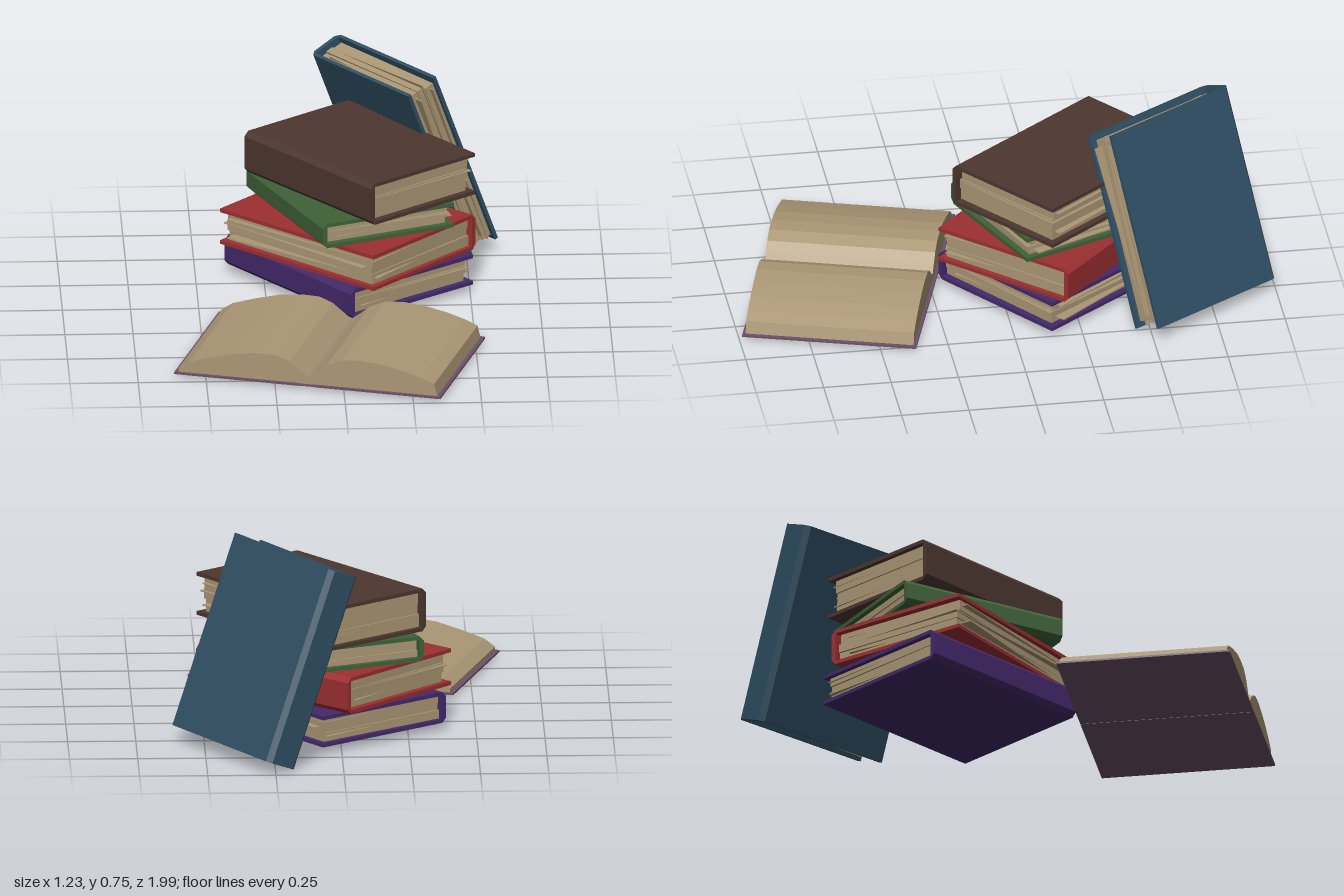
import * as THREE from 'three';

const mat = (color) => new THREE.MeshStandardMaterial({ color, flatShading: true });
const paper = mat(0xab9775);

// Extrude a closed [x, y] profile along z, centred on z = 0
function prism(points, depth, material, name) {
  const shape = new THREE.Shape(points.map(([x, y]) => new THREE.Vector2(x, y)));
  const geo = new THREE.ExtrudeGeometry(shape, { depth, bevelEnabled: false });
  geo.translate(0, 0, -depth / 2);
  const mesh = new THREE.Mesh(geo, material);
  mesh.name = name;
  return mesh;
}

function box(w, h, d, material, name) {
  const mesh = new THREE.Mesh(new THREE.BoxGeometry(w, h, d), material);
  mesh.name = name;
  return mesh;
}

// Closed book centred on the origin: spine at -x, fore edge at +x, length along z
function closedBook(name, color, W, T, L, twist) {
  const book = new THREE.Group();
  book.name = name;
  const w = W / 2, t = T / 2, c = 0.014, b = 0.018;

  // U-shaped cover with a chamfered spine
  book.add(prism([
    [w, -t], [w, -t + c], [-w + b, -t + c], [-w + b, t - c], [w, t - c], [w, t],
    [-w + b, t], [-w, t - b], [-w, -t + b], [-w + b, -t],
  ], L, mat(color), 'cover'));

  // Page block in slightly shifted bundles
  const inner = T - 2 * c;
  const bundles = [0.36, 0.28, 0.36];
  let y = -inner / 2;
  bundles.forEach((f, i) => {
    const h = f * inner;
    const pages = box(W - 0.04, h, L - 0.045, paper, 'pages');
    pages.position.set((i - 1) * 0.003, y + h / 2, (i % 2) * 0.006 - 0.003);
    pages.rotation.y = (i - 1) * twist * 0.12;
    book.add(pages);
    y += h;
  });

  // Loose leaves working their way out of the block
  [-0.27, 0.08, 0.33].forEach((f, i) => {
    const leaf = box(W - 0.05, 0.004, L - 0.05, paper, 'looseLeaf');
    leaf.position.set(0.02, f * inner, i === 1 ? 0.012 : -0.006);
    leaf.rotation.y = twist * [1, -0.5, 0.6][i];
    book.add(leaf);
  });
  return book;
}

// Open book lying flat: two thin boards and two curved page stacks
function openBook() {
  const book = new THREE.Group();
  book.name = 'openBook';
  const coverMat = mat(0x6b5068);
  for (const s of [-1, 1]) {
    const board = box(0.475, 0.007, 0.644, coverMat, 'board');
    board.position.set(s * 0.267, 0.0165, 0);
    book.add(board);
  }
  const spine = box(0.062, 0.005, 0.644, coverMat, 'spine');
  spine.position.y = 0.0165;
  book.add(spine);

  book.add(prism([
    [-0.49, 0.019], [0, 0.019], [0, 0.045], [-0.035, 0.072], [-0.07, 0.1], [-0.12, 0.12],
    [-0.19, 0.122], [-0.27, 0.113], [-0.36, 0.09], [-0.45, 0.062], [-0.49, 0.034],
  ], 0.622, paper, 'leftPages'));
  book.add(prism([
    [0, 0.019], [0.49, 0.019], [0.478, 0.065], [0.43, 0.085], [0.36, 0.106], [0.28, 0.122],
    [0.2, 0.13], [0.13, 0.125], [0.07, 0.1], [0.035, 0.07], [0, 0.045],
  ], 0.622, paper, 'rightPages'));
  book.position.set(-0.04, 0, 0.535);
  book.rotation.y = -0.296;
  return book;
}

export function createModel() {
  const model = new THREE.Group();
  model.name = 'bookPile';
  model.add(openBook());

  // Stack: name, colour, width, length, bottom, top, x, z, turn, leaf twist
  const stack = [
    ['purpleBook', 0x43296a, 0.578, 0.73, 0.03, 0.147, 0.06, -0.25, 0.65, 0.06],
    ['redBook', 0x9c2f32, 0.573, 0.742, 0.148, 0.286, 0.055, -0.235, -2.32, 0.07],
    ['greenBook', 0x3f6238, 0.53, 0.662, 0.287, 0.382, 0.065, -0.255, 0.4, 0.05],
    ['brownBook', 0x4d3730, 0.5, 0.714, 0.383, 0.545, 0.1, -0.26, 0.67, 0.025],
  ];
  for (const [name, color, W, L, y0, y1, x, z, turn, twist] of stack) {
    const book = closedBook(name, color, W, y1 - y0, L, twist);
    book.position.set(x, (y0 + y1) / 2, z);
    book.rotation.y = turn;
    model.add(book);
  }

  // Book leaning against the stack
  const lean = closedBook('leaningBook', 0x2f4f63, 0.596, 0.137, 0.742, 0.05);
  const ex = new THREE.Vector3(0.571, 0.025, 0.822).normalize();
  const ez = ex.clone().cross(new THREE.Vector3(0.76, 0.367, -0.538)).normalize();
  const ey = ez.clone().cross(ex);
  lean.quaternion.setFromRotationMatrix(new THREE.Matrix4().makeBasis(ex, ey, ez));
  lean.position.set(0.278, 0.379, -0.653);
  model.add(lean);
  return model;
}
